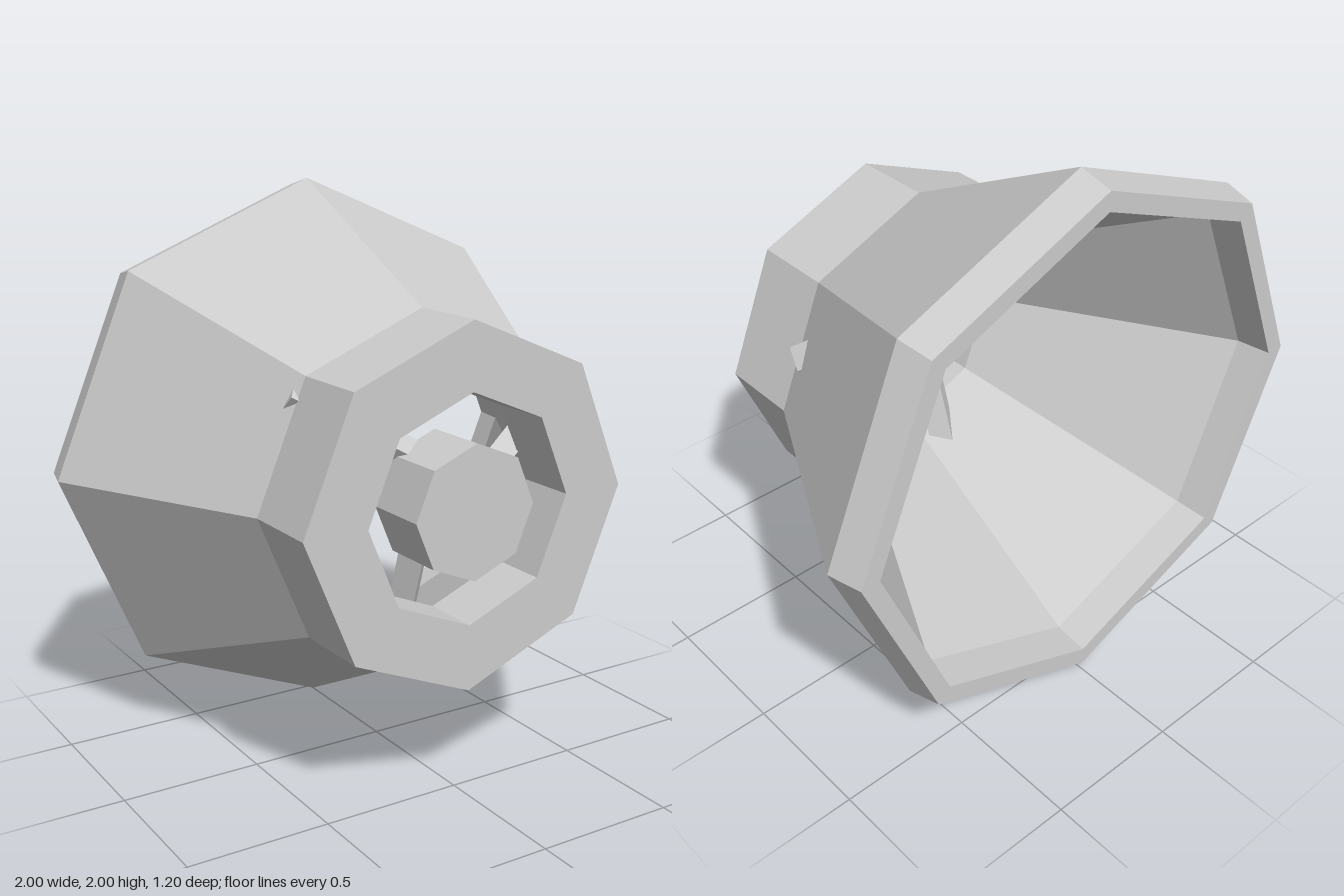
import * as THREE from 'three';

const grey = new THREE.MeshStandardMaterial({ color: 0xcccccc });

// Faceted mesh: every triangle gets its own flat normal
function faceted(geometry, name) {
  const g = geometry.index ? geometry.toNonIndexed() : geometry;
  g.computeVertexNormals();
  const mesh = new THREE.Mesh(g, grey);
  mesh.name = name;
  return mesh;
}

export function createModel() {
  const model = new THREE.Group();
  model.name = 'flaredNozzle';

  // Everything is built around the z axis, then lifted to stand on the ground
  const body = new THREE.Group();
  body.name = 'body';
  body.position.y = 1;
  model.add(body);

  // Octagonal shell: [radius, z], outside from back to front, then back through the bore
  const profile = [
    [0.9, -0.6], [0.97, -0.6], [1, -0.475], [0.62, 0.28], [0.62, 0.575],
    [0.39, 0.575], [0.39, 0.36], [0.88, -0.475], [0.9, -0.6],
  ].map(([r, z]) => new THREE.Vector2(r, z));
  body.add(faceted(new THREE.LatheGeometry(profile, 8).rotateX(Math.PI / 2), 'shell'));

  // Octagonal hub in the mouth
  const hub = faceted(new THREE.CylinderGeometry(0.23, 0.23, 0.24, 8).rotateX(Math.PI / 2), 'hub');
  hub.position.z = 0.48;
  body.add(hub);

  // Three struts, set off-centre and sloping back from the hub into the shell
  const inner = new THREE.Vector3(0.08, -0.08, 0.39);
  const outer = new THREE.Vector3(0.595, -0.08, 0.225);
  const length = inner.distanceTo(outer);
  const slope = Math.atan2(inner.z - outer.z, outer.x - inner.x);
  for (let i = 0; i < 3; i++) {
    const bar = new THREE.BoxGeometry(length, 0.085, 0.085);
    bar.rotateX(Math.PI / 4).rotateY(slope);
    bar.translate((inner.x + outer.x) / 2, inner.y, (inner.z + outer.z) / 2);
    const strut = faceted(bar, 'strut' + (i + 1));
    strut.rotation.z = Math.PI / 6 + (i * Math.PI * 2) / 3;
    body.add(strut);
  }

  return model;
}
